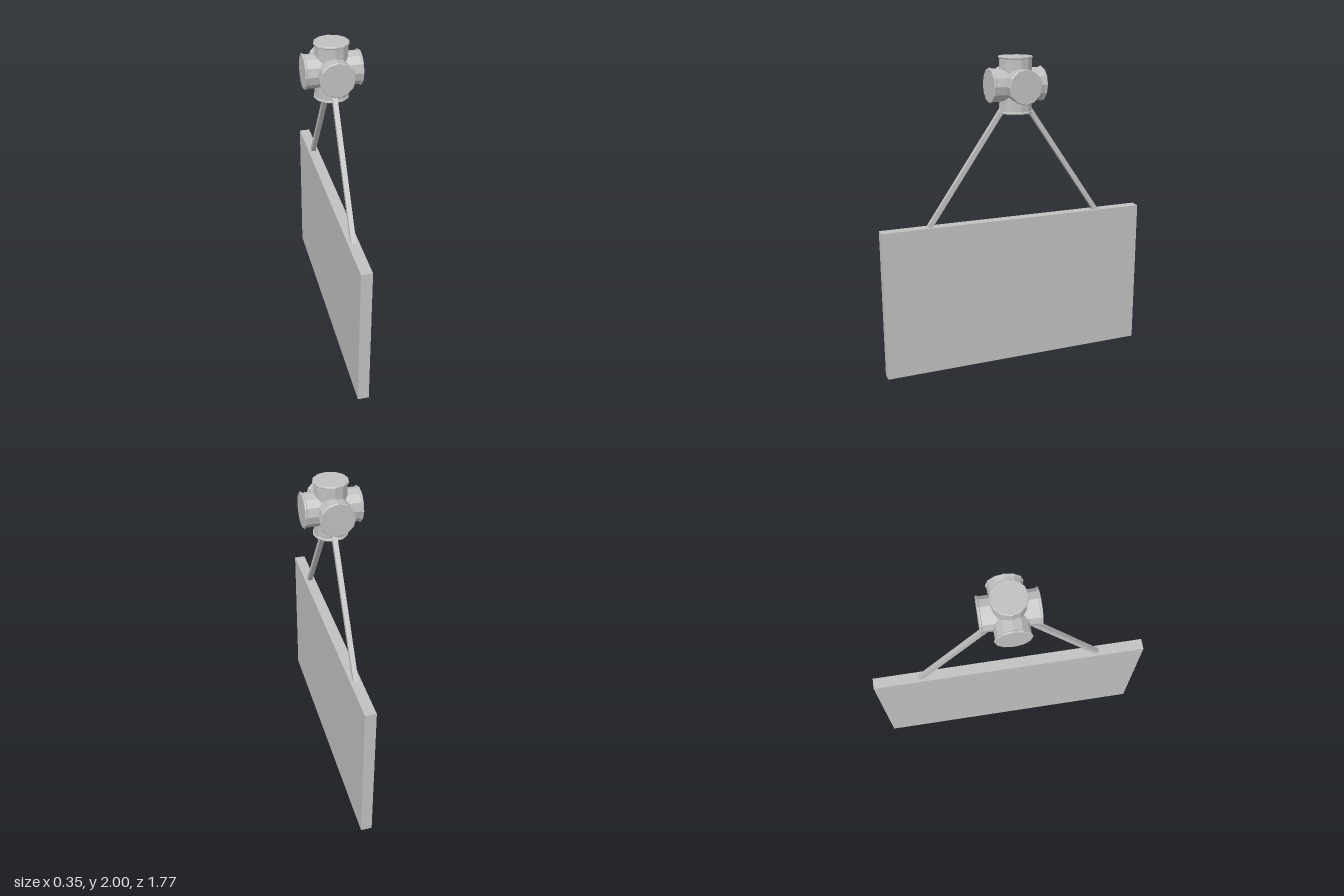
import * as THREE from 'three';

export function createModel() {
  const grey = new THREE.MeshStandardMaterial({ color: 0xc0c0c0, flatShading: true });
  grey.name = 'grey';
  const model = new THREE.Group();
  model.name = 'hangingPanel';

  const add = (parent, name, geometry) => {
    const mesh = new THREE.Mesh(geometry, grey);
    mesh.name = name;
    parent.add(mesh);
    return mesh;
  };

  // Flat rectangular panel
  const panelTop = 0.97;
  add(model, 'panel', new THREE.BoxGeometry(0.07, panelTop, 1.77)).position.y = panelTop / 2;

  // Six-way hub: three crossing twelve-sided barrels with a beaded rim at each end
  const hub = new THREE.Group();
  hub.name = 'hub';
  hub.position.y = 1.825;
  model.add(hub);
  const rim = [[0, 0.175], [0.104, 0.175], [0.108, 0.171], [0.108, 0.164], [0.102, 0.16]];
  const profile = [
    ...rim.map(([r, y]) => new THREE.Vector2(r, -y)),
    ...rim.toReversed().map(([r, y]) => new THREE.Vector2(r, y)),
  ];
  const barrel = new THREE.LatheGeometry(profile, 12);
  add(hub, 'verticalBarrel', barrel);
  add(hub, 'sideBarrel', barrel).rotation.z = Math.PI / 2;
  add(hub, 'frontBarrel', barrel).rotation.x = Math.PI / 2;

  // Square struts running from inside the hub down to the panel's top edge
  const up = new THREE.Vector3(0, 1, 0);
  for (const [name, side] of [['frontStrut', 1], ['backStrut', -1]]) {
    const top = new THREE.Vector3(0, 1.78, side * 0.016);
    const bottom = new THREE.Vector3(0, panelTop - 0.03, side * 0.595);
    const direction = top.clone().sub(bottom);
    const strut = add(model, name, new THREE.BoxGeometry(0.03, direction.length(), 0.03));
    strut.position.copy(top).add(bottom).multiplyScalar(0.5);
    strut.quaternion.setFromUnitVectors(up, direction.normalize());
  }

  return model;
}
